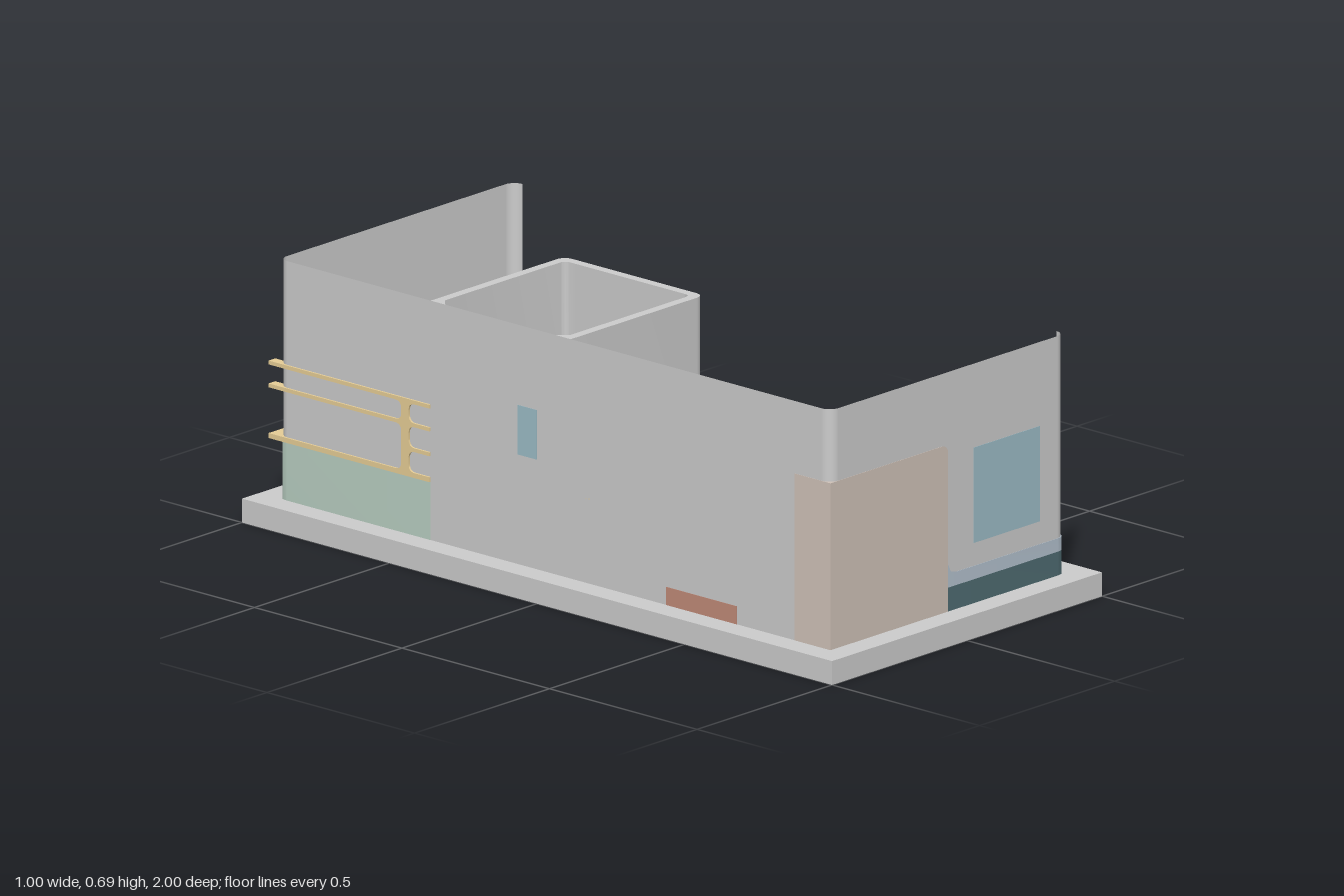
import * as THREE from 'three';
import { toCreasedNormals } from 'three/addons/utils/BufferGeometryUtils.js';

const mat = (color) => new THREE.MeshStandardMaterial({ color, side: THREE.DoubleSide });
const GREY = mat(0xcccccc), GREEN = mat(0xb9cfc2), WOOD = mat(0xe6cd96), DARK = mat(0x4f6c72),
  BLUE = mat(0xb4c2cf), BROWN = mat(0xd0c2b8), GLASS = mat(0x9cbcc6), CLAY = mat(0xc08a78);

const FLOOR = 0.0625, TOP = 0.69, W = 0.435, D = 0.935, R = 0.03;

export function createModel() {
  const model = new THREE.Group();

  const add = (name, geo, material, x = 0, y = 0, z = 0) => {
    const mesh = new THREE.Mesh(geo, material);
    mesh.name = name;
    mesh.position.set(x, y, z);
    model.add(mesh);
    return mesh;
  };
  // Box given by its min and max corners
  const box = (name, material, x0, x1, y0, y1, z0, z1) => add(name,
    new THREE.BoxGeometry(x1 - x0, y1 - y0, z1 - z0), material, (x0 + x1) / 2, (y0 + y1) / 2, (z0 + z1) / 2);

  // Closed outline from [x, y, cornerRadius] points
  const outline = (pts) => {
    const shape = new THREE.Shape();
    pts.forEach(([x, y, r = 0], i) => {
      const p = new THREE.Vector2(x, y);
      const toward = (q) => new THREE.Vector2(q[0], q[1]).sub(p).setLength(r).add(p);
      const a = toward(pts[(i + pts.length - 1) % pts.length]);
      const b = toward(pts[(i + 1) % pts.length]);
      if (i === 0) shape.moveTo(a.x, a.y); else shape.lineTo(a.x, a.y);
      if (r) shape.quadraticCurveTo(x, y, b.x, b.y);
    });
    return shape;
  };
  const extrude = (pts, depth) => toCreasedNormals(
    new THREE.ExtrudeGeometry(outline(pts), { depth, bevelEnabled: false, curveSegments: 8 }), 0.6);
  // Plan outline in x, z raised from y0 to y1
  const plan = (name, material, pts, y0, y1) =>
    add(name, extrude(pts, y1 - y0).rotateX(Math.PI / 2), material, 0, y1, 0);
  // Side outline in -z, y extruded from x0 to x1
  const side = (name, material, pts, x0, x1, z = 0) =>
    add(name, extrude(pts, x1 - x0).rotateY(Math.PI / 2), material, x0, 0, z);

  box('base', GREY, -0.5, 0.5, 0, FLOOR, -1, 1);

  // Thin outer walls on three sides with rounded corners
  const h = TOP - FLOOR, mid = (TOP + FLOOR) / 2;
  for (const s of [1, -1]) {
    const end = add(s > 0 ? 'frontWall' : 'backWall', new THREE.PlaneGeometry(2 * (W - R), h), GREY, 0, mid, s * D);
    if (s < 0) end.rotation.y = Math.PI;
    for (const t of [1, -1]) {
      const start = s > 0 ? (t > 0 ? 0 : 1.5) : (t > 0 ? 0.5 : 1);
      add('wallCorner', new THREE.CylinderGeometry(R, R, h, 8, 1, true, start * Math.PI, Math.PI / 2),
        GREY, t * (W - R), mid, s * (D - R));
    }
  }
  add('longWall', new THREE.PlaneGeometry(2 * (D - R), h), GREY, -W, mid, 0).rotation.y = -Math.PI / 2;

  // Window panes
  box('frontWindow', GLASS, 0.095, 0.34, 0.22, 0.47, D - 0.001, D + 0.001);
  box('backWindow', GLASS, -0.366, 0.064, 0.22, 0.46, -D - 0.001, -D + 0.001);
  box('washroomWindow', GLASS, -W - 0.001, -W + 0.001, 0.35, 0.48, -0.125, -0.06);

  // Washroom: two corner walls and a panel with a rounded doorway
  plan('washroomBackWall', GREY, [[-W, -0.42], [0.06, -0.42, R], [0.06, -0.36], [0.035, -0.36],
    [0.035, -0.395, 0.02], [-0.41, -0.395], [-W, -0.37]], FLOOR, TOP);
  plan('washroomFrontWall', GREY, [[-W, 0.055], [-W, 0.005], [-0.41, 0.03], [0.035, 0.03, 0.02],
    [0.035, 0.01], [0.06, 0.01], [0.06, 0.055, R]], FLOOR, TOP);
  side('washroomDoorWall', GREY, [[-0.01, FLOOR], [0, FLOOR], [0, 0.483, 0.04], [0.19, 0.483, 0.04],
    [0.19, FLOOR], [0.36, FLOOR], [0.36, TOP], [-0.01, TOP]], 0.035, 0.06);

  // Kitchen counter, hooked around the back end
  const e = 0.001;
  plan('kitchenCounter', GREEN, [[-W - e, -D - e, R], [0.06, -D - e, R], [0.06, -0.69, 0.025],
    [-0.06, -0.69, 0.025], [-0.06, -0.815, 0.025], [-0.315, -0.815, 0.025], [-0.315, -0.42], [-W - e, -0.42]],
    FLOOR, 0.22);

  // Shelf comb: boards on both sides of an upright between a and b
  const comb = (L, a, b) => {
    const r = 0.02;
    return [[0, 0.215], [L, 0.215], [L, 0.228], [b, 0.228, r], [b, 0.348, r], [L, 0.348], [L, 0.358],
      [b, 0.358, r], [b, 0.408, r], [L, 0.408], [L, 0.418], [0, 0.418], [0, 0.408], [a, 0.408, r],
      [a, 0.358, r], [0, 0.358], [0, 0.348], [a, 0.348, r], [a, 0.293, r], [0, 0.293], [0, 0.283],
      [a, 0.283, r], [a, 0.228, r], [0, 0.228]];
  };
  // Kitchen shelves: deep near the washroom, narrow boards beyond
  side('kitchenShelfDeep', WOOD, comb(0.18, 0.07, 0.095), -0.415, -0.367, -0.42);
  side('kitchenShelfNarrow', WOOD, comb(0.545, 0.07, 0.095), -0.44, -0.415, -0.42);
  box('kitchenShelfBoard', WOOD, -0.415, -0.367, 0.215, 0.228, -0.965, -0.6);

  // Desk with a board that bends down to the floor, and shelves above
  add('deskShelves', extrude(comb(0.395, 0.13, 0.155), 0.065), WOOD, -W, 0, 0.055);
  add('desk', extrude([[-W, 0.208], [-0.015, 0.208, 0.03], [-0.015, FLOOR], [0, FLOOR],
    [0, 0.228, 0.045], [-W, 0.228]], 0.125), WOOD, 0, 0, 0.055);

  // Seating along the long wall, ramped up to the desk, with a low central platform
  side('wallSeatBack', GREEN, [[-0.375, FLOOR], [-0.185, FLOOR], [-0.185, 0.21], [-0.2, 0.21],
    [-0.21, 0.15, 0.025], [-0.375, 0.15]], -W + 0.002, -0.345);
  box('wallSeatFront', GREEN, -W + 0.002, -0.345, FLOOR, 0.15, 0.62, 0.815);
  plan('platformTop', GREY, [[-W + 0.002, 0.375], [-0.345, 0.375], [-0.345, 0.35, 0.02], [-0.343, 0.375, 0.002],
    [0, 0.375, 0.01], [0, 0.62, 0.01], [-0.345, 0.62], [-W + 0.002, 0.62]], 0.11, 0.15);
  box('platformBase', CLAY, -W - e, 0, FLOOR, 0.11, 0.378, 0.618);

  // Tall cabinet at the front
  add('cabinet', extrude([[-W - e, FLOOR], [0, FLOOR], [0, 0.5, 0.025], [-W - e, 0.5]], D + e - 0.815),
    BROWN, 0, 0, 0.815);

  // Corner sofa: dark plinth and pale cushion
  const sofa = (m) => [[0, 0.815], [0.315, 0.815, 0.015], [0.315, 0.375, 0.015], [W + m, 0.375],
    [W + m, D + m, R], [0, D + m]];
  plan('sofaPlinth', DARK, sofa(e), FLOOR, 0.125);
  plan('sofaCushion', BLUE, sofa(e), 0.125, 0.16);
  add('cushionCurl', extrude([[0, 0.16], [0.03, 0.16], [0.01, 0.165, 0.003], [0, 0.185]], D + e - 0.815),
    BLUE, 0, 0, 0.815);

  // Long side bench, sweeping down to the sofa
  side('sideBench', GREEN, [[-0.375, FLOOR], [0.37, FLOOR], [0.37, 0.252], [-0.375, 0.252, 0.03],
    [-0.375, 0.16]], 0.378, W);
  side('benchSweep', BLUE, [[-0.375, 0.16], [-0.375, 0.19], [-0.377, 0.162, 0.015], [-0.405, 0.16]], 0.378, W);

  // Small table on a thin leg with a long foot
  plan('tableTop', WOOD, [[0.16, 0.555, 0.02], [0.31, 0.555, 0.02], [0.31, 0.808, 0.02], [0.16, 0.808, 0.02]],
    0.212, 0.224);
  side('tableLeg', WOOD, [[-0.633, FLOOR], [-0.385, FLOOR], [-0.385, 0.075], [-0.565, 0.075, 0.03],
    [-0.565, 0.213], [-0.633, 0.213]], 0.225, 0.236);

  return model;
}
